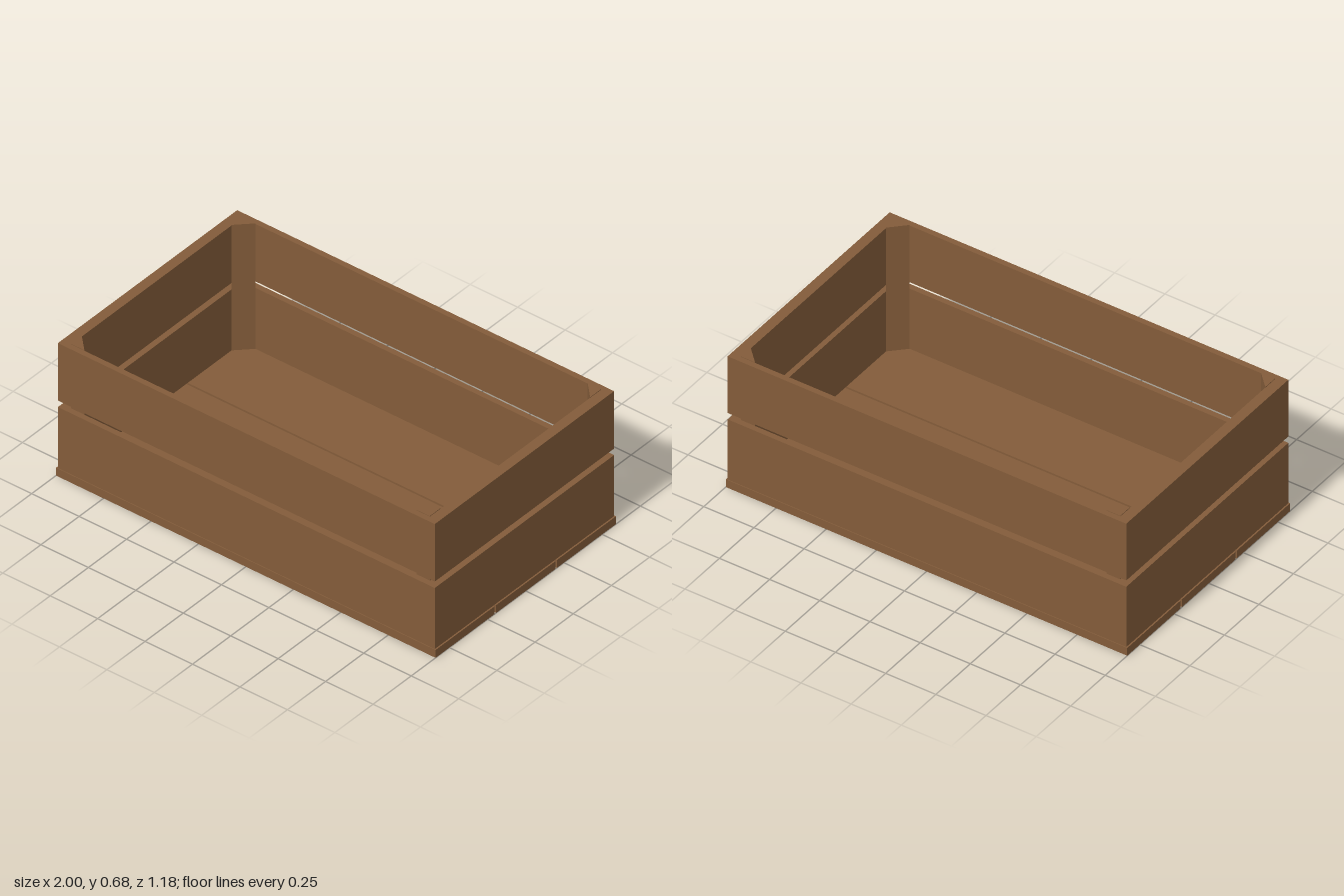
import * as THREE from 'three';

export function createModel() {
  const crate = new THREE.Group();
  crate.name = 'woodenCrate';
  const wood = new THREE.MeshStandardMaterial({ color: 0x835c3a });
  wood.name = 'brown wood';

  const add = (name, geometry, x, y, z) => {
    const mesh = new THREE.Mesh(geometry, wood);
    mesh.name = name;
    mesh.position.set(x, y, z);
    crate.add(mesh);
  };
  const board = (name, w, h, d, x, y, z) =>
    add(name, new THREE.BoxGeometry(w, h, d), x, y, z);

  const floorTop = 0.04;
  const outX = 0.993, outZ = 0.587; // outer faces of the walls
  const inX = 0.945, inZ = 0.56; // inner faces of the walls

  // Three floor planks with narrow gaps
  for (const i of [-1, 0, 1]) {
    board('floorPlank', 2, floorTop, 0.387, 0, floorTop / 2, i * 0.397);
  }

  // Two rows of wall boards, the long sides covering the ends
  for (const [bottom, top] of [[floorTop, 0.352], [0.385, 0.679]]) {
    const h = top - bottom, y = (top + bottom) / 2;
    for (const s of [-1, 1]) {
      board('longSideBoard', 2 * outX, h, outZ - inZ, 0, y, s * (outZ + inZ) / 2);
      board('endBoard', outX - inX, h, 2 * inZ, s * (outX + inX) / 2, y, 0);
    }
  }

  // Triangular posts in the inner corners, just proud of the walls
  const leg = 0.07, postHeight = 0.682 - floorTop;
  for (const sx of [-1, 1]) {
    for (const sz of [-1, 1]) {
      const shape = new THREE.Shape([
        new THREE.Vector2(0, 0),
        new THREE.Vector2(-sx * leg, 0),
        new THREE.Vector2(0, sz * leg),
      ]);
      const post = new THREE.ExtrudeGeometry(shape, { depth: postHeight, bevelEnabled: false });
      post.rotateX(-Math.PI / 2);
      add('cornerPost', post, sx * inX, floorTop, sz * inZ);
    }
  }
  return crate;
}
